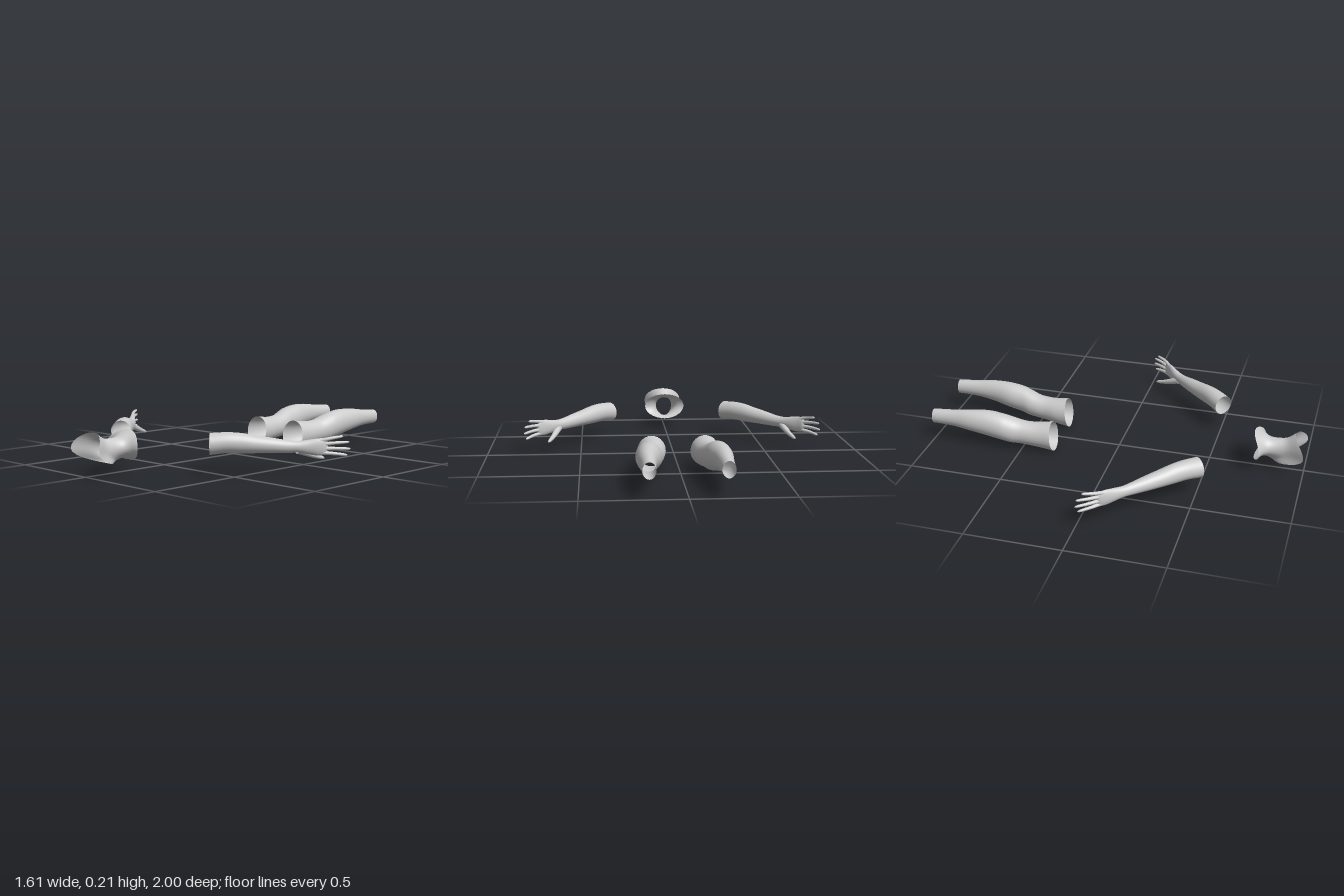
import * as THREE from 'three';

const SIDES = 28;
const skin = new THREE.MeshStandardMaterial({ color: 0xcccccc, side: THREE.DoubleSide });

// Skin a grid of closed rings; ringPoint(u, angle) gives each vertex
function skinRings(name, rows, ringPoint) {
  const pos = [], idx = [];
  for (let i = 0; i <= rows; i++) {
    for (let j = 0; j < SIDES; j++) {
      pos.push(...ringPoint(i / rows, (j / SIDES) * Math.PI * 2));
      if (i === rows) continue;
      const a = i * SIDES + j, b = i * SIDES + (j + 1) % SIDES;
      idx.push(a, a + SIDES, b, b, a + SIDES, b + SIDES);
    }
  }
  const geo = new THREE.BufferGeometry();
  geo.setAttribute('position', new THREE.Float32BufferAttribute(pos, 3));
  geo.setIndex(idx);
  geo.computeVertexNormals();
  const mesh = new THREE.Mesh(geo, skin);
  mesh.name = name;
  return mesh;
}

// Smooth curve through 3D points, sampled evenly per point
const curve = pts => {
  const c = new THREE.CatmullRomCurve3(pts.map(p => new THREE.Vector3(...p)), false, 'catmullrom', 0.5);
  return u => c.getPoint(u);
};

// Limb along local +x from stations [along, top y, bottom y, half width, side offset, end slant]
function limb(name, stations, rows = 40) {
  const heights = curve(stations.map(s => [s[0], s[1], s[2]]));
  const widths = curve(stations.map(s => [s[3], s[4] || 0, s[5] || 0]));
  return skinRings(name, rows, (u, a) => {
    const h = heights(u), w = widths(u);
    return [
      h.x + w.z * Math.cos(a),
      (h.y + h.z) / 2 + (h.y - h.z) / 2 * Math.cos(a),
      w.y - w.x * Math.sin(a),
    ];
  });
}

// Tapered digit with a rounded tip along a curved path
function digit(name, path, r0, r1) {
  const c = new THREE.CatmullRomCurve3(path.map(p => new THREE.Vector3(...p)));
  return skinRings(name, 16, (u, a) => {
    const p = c.getPoint(u), t = c.getTangent(u);
    const side = new THREE.Vector3().crossVectors(t, new THREE.Vector3(0, 1, 0)).normalize();
    const up = new THREE.Vector3().crossVectors(side, t);
    const tip = u > 0.85 ? Math.sqrt(Math.max(0, 1 - ((u - 0.85) / 0.15) ** 2)) : 1;
    const r = (r0 + (r1 - r0) * u) * tip;
    p.addScaledVector(side, r * Math.cos(a)).addScaledVector(up, r * Math.sin(a));
    return [p.x, p.y, p.z];
  });
}

// Forearm and open hand, thumb pointing down and inward
function makeArm() {
  const arm = new THREE.Group();
  arm.add(limb('forearmAndPalm', [
    [0, 0.2, 0.093, 0.053],
    [0.08, 0.204, 0.102, 0.05],
    [0.15, 0.2, 0.1, 0.046],
    [0.22, 0.188, 0.1, 0.043],
    [0.3, 0.176, 0.1, 0.037],
    [0.38, 0.163, 0.1, 0.028],
    [0.43, 0.159, 0.101, 0.024, 0.002],
    [0.48, 0.165, 0.093, 0.021, 0.004],
    [0.53, 0.172, 0.087, 0.016, 0.008],
    [0.565, 0.168, 0.093, 0.011, 0.008],
    [0.577, 0.145, 0.115, 0.001, 0.007],
  ], 60));
  // [base y, tip y, tip along]
  const fingers = [[0.159, 0.181, 0.652], [0.141, 0.152, 0.684], [0.121, 0.118, 0.69], [0.102, 0.087, 0.675]];
  fingers.forEach(([y0, y1, x1]) => {
    arm.add(digit('finger', [
      [0.535, y0, 0.008],
      [(0.535 + x1) / 2, (y0 + y1) / 2 + 0.002, 0.01],
      [x1, y1, 0],
    ], 0.0105, 0.0065));
  });
  arm.add(digit('thumb', [
    [0.43, 0.115, -0.004], [0.475, 0.095, -0.026], [0.52, 0.077, -0.045], [0.572, 0.062, -0.065],
  ], 0.02, 0.0075));
  arm.position.set(0.336, 0, 0.505);
  arm.rotation.y = 0.827;
  return arm;
}

// Lower leg from above the knee to the ankle, open at both ends
function makeLeg() {
  const leg = limb('lowerLeg', [
    [0, 0.166, 0.004, 0.073, -0.136, 0.009],
    [0.07, 0.157, 0.014, 0.066, -0.139, 0.005],
    [0.13, 0.155, 0.023, 0.06, -0.146],
    [0.18, 0.161, 0.028, 0.06, -0.15],
    [0.23, 0.177, 0.032, 0.064, -0.158],
    [0.28, 0.192, 0.044, 0.063, -0.166],
    [0.36, 0.203, 0.06, 0.06, -0.17],
    [0.46, 0.199, 0.08, 0.048, -0.179],
    [0.56, 0.186, 0.094, 0.037, -0.18],
    [0.67, 0.177, 0.097, 0.032, -0.18],
  ]);
  leg.rotation.y = Math.PI / 2;
  leg.position.z = -0.33;
  // local z becomes x, so sideways offsets are mirrored back
  leg.scale.z = -1;
  return leg;
}

// Neck: a flared sleeve ruled by its top, side and bottom outlines
function makeNeck() {
  const top = curve([[0, 0.209, 0.732], [0, 0.195, 0.77], [0, 0.178, 0.81], [0, 0.177, 0.86], [0, 0.184, 0.9], [0, 0.214, 0.943]]);
  const side = curve([[0.118, 0.13, 0.775], [0.075, 0.128, 0.79], [0.053, 0.125, 0.82], [0.048, 0.122, 0.87], [0.061, 0.125, 0.92], [0.111, 0.132, 1]]);
  const bottom = curve([[0, 0.06, 0.735], [0, 0.069, 0.76], [0, 0.072, 0.785], [0, 0.068, 0.805], [0, 0.06, 0.825], [0, 0.05, 0.845]]);
  return skinRings('neck', 30, (u, a) => {
    const c = Math.cos(a), s = Math.sin(a), m = side(u);
    const end = c > 0 ? top(u) : bottom(u);
    return [m.x * s, m.y + (end.y - m.y) * Math.abs(c), m.z + (end.z - m.z) * c * c];
  });
}

export function createModel() {
  const model = new THREE.Group();
  model.name = 'bodyParts';
  model.add(makeNeck());
  // Left and right limbs
  for (const s of [1, -1]) {
    const half = new THREE.Group();
    half.name = s > 0 ? 'leftLimbs' : 'rightLimbs';
    const arm = makeArm();
    arm.name = 'arm';
    half.add(arm, makeLeg());
    half.scale.x = s;
    model.add(half);
  }
  return model;
}
